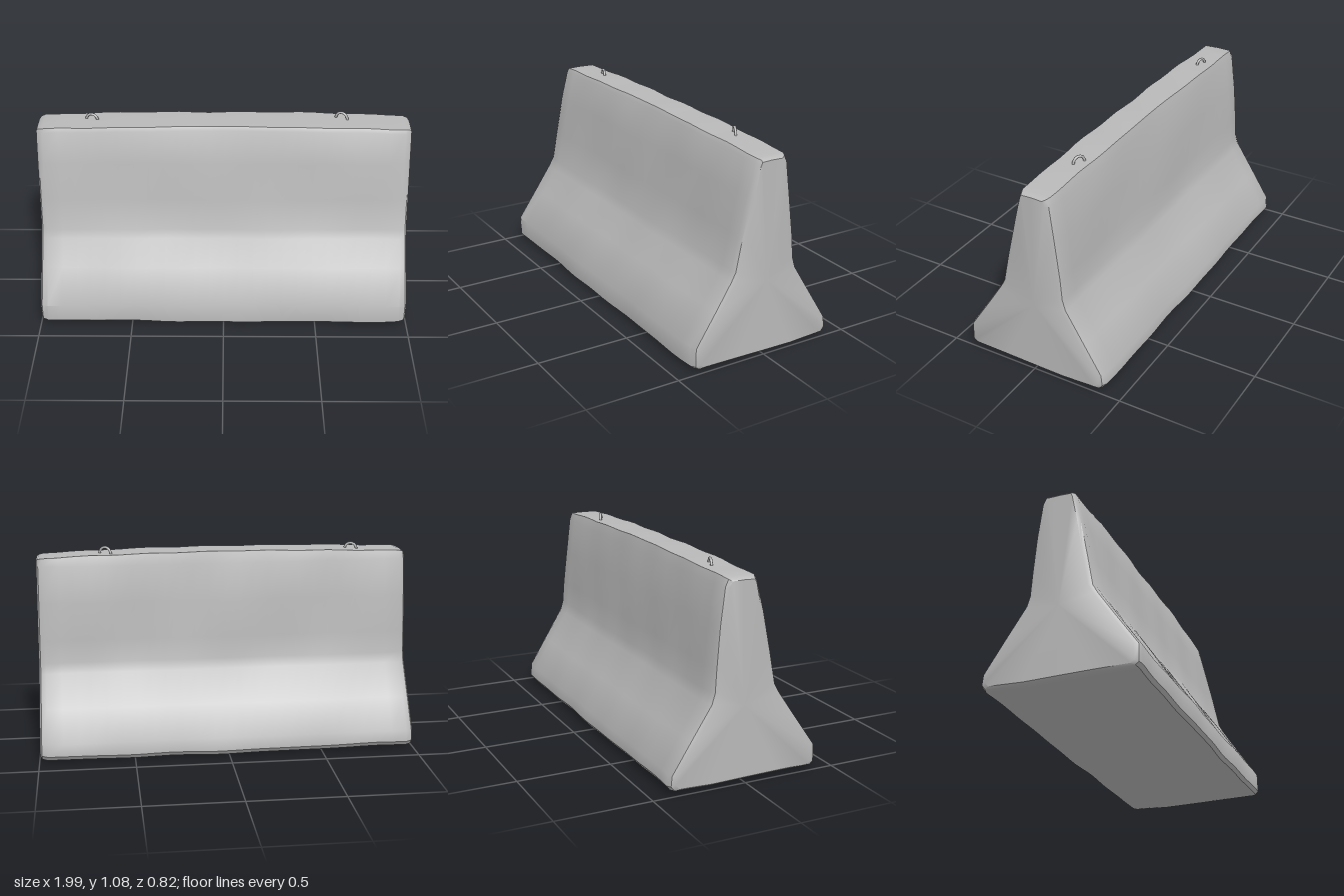
import * as THREE from 'three';
import { toCreasedNormals } from 'three/addons/utils/BufferGeometryUtils.js';

// Cross-section [z, y]: up the front, over the top, down the back, under the base
const SECTION = [
  [0.385, 0.014], [0.403, 0.03], [0.403, 0.13], [0.29, 0.3], [0.2, 0.435], [0.175, 0.48],
  [0.14, 0.65], [0.1, 0.85], [0.062, 1.02], [0.05, 1.04],
  [-0.03, 1.042], [-0.112, 1.04], [-0.128, 0.99], [-0.15, 0.8], [-0.168, 0.6], [-0.178, 0.48],
  [-0.195, 0.425], [-0.3, 0.26], [-0.398, 0.1], [-0.403, 0.04], [-0.385, 0.016],
  [-0.2, 0.008], [0, 0.01], [0.2, 0.012],
];
const CORE = [-0.01, 0.4];

// Small uneven waviness of the cast concrete
function worn([z, y], x) {
  const wave = Math.sin(7 * x + 9 * y + 2) + 0.7 * Math.sin(17 * x - 6 * y);
  const dz = 0.003 * wave * Math.sign(z);
  let dy = 0;
  if (y > 1) dy = 0.009 - 0.02 * x * x + 0.002 * Math.sin(19 * x);
  if (y < 0.05) dy = 0.007 * (x - 0.25) * (x - 0.25) - 0.006 + 0.002 * Math.sin(12 * x + z * 5);
  return [z + dz, Math.max(0, y + dy)];
}

// Loft the section along x, drawing it in at both ends for worn edges
function barrierGeometry() {
  const rings = [[-0.992, 0.03], [-0.982, 0.01]];
  for (let i = 0; i <= 24; i++) rings.push([-0.955 + (1.91 * i) / 24, 0]);
  rings.push([0.982, 0.01], [0.992, 0.03]);
  const n = SECTION.length;
  const pos = [];
  const index = [];
  rings.forEach(([x, inset]) => {
    SECTION.forEach((p) => {
      const [z, y] = worn(p, x);
      const sideInset = Math.min(inset, Math.abs(z) * 0.25);
      const dy = y > 1 ? -inset * 0.45 : y < 0.05 ? inset * 0.45 : 0;
      const lean = y > 0.48 ? 0.008 * (y - 0.48) : 0.008 * (0.48 - y);
      const end = Math.abs(x) > 0.96 ? Math.sign(x) * (y > 0.48 ? -lean : lean) : 0;
      pos.push(x + end, y + dy, z - Math.sign(z) * sideInset);
    });
  });
  for (let r = 0; r < rings.length - 1; r++) {
    for (let i = 0; i < n; i++) {
      const j = (i + 1) % n;
      const a = r * n + i, b = (r + 1) * n + i, c = (r + 1) * n + j, d = r * n + j;
      index.push(a, b, c, a, c, d);
    }
  }
  // End caps
  const last = (rings.length - 1) * n;
  const left = pos.length / 3;
  pos.push(-0.993, CORE[1], CORE[0], 0.993, CORE[1], CORE[0]);
  for (let i = 0; i < n; i++) {
    const j = (i + 1) % n;
    index.push(left, i, j, left + 1, last + j, last + i);
  }
  const g = new THREE.BufferGeometry();
  g.setAttribute('position', new THREE.Float32BufferAttribute(pos, 3));
  g.setIndex(index);
  return toCreasedNormals(g, 0.65);
}

export function createModel() {
  const concrete = new THREE.MeshStandardMaterial({ color: 0xb8b8b8 });
  concrete.name = 'concrete grey';
  const model = new THREE.Group();
  model.name = 'concreteBarrier';

  const body = new THREE.Mesh(barrierGeometry(), concrete);
  body.name = 'barrierBody';
  model.add(body);

  // Bent lifting loops set into the top
  const loop = new THREE.CatmullRomCurve3([
    [-0.032, -0.03, 0], [-0.032, 0.01, 0], [-0.02, 0.032, 0],
    [0, 0.039, 0], [0.02, 0.032, 0], [0.032, 0.01, 0], [0.032, -0.03, 0],
  ].map((p) => new THREE.Vector3(...p)));
  const loopGeometry = new THREE.TubeGeometry(loop, 20, 0.007, 8);
  [['rightLiftingLoop', -0.7, 1.028, -0.048, -0.28], ['leftLiftingLoop', 0.625, 1.035, -0.058, -0.45]]
    .forEach(([name, x, y, z, turn]) => {
      const mesh = new THREE.Mesh(loopGeometry, concrete);
      mesh.name = name;
      mesh.position.set(x, y, z);
      mesh.rotation.y = turn;
      model.add(mesh);
    });
  return model;
}
